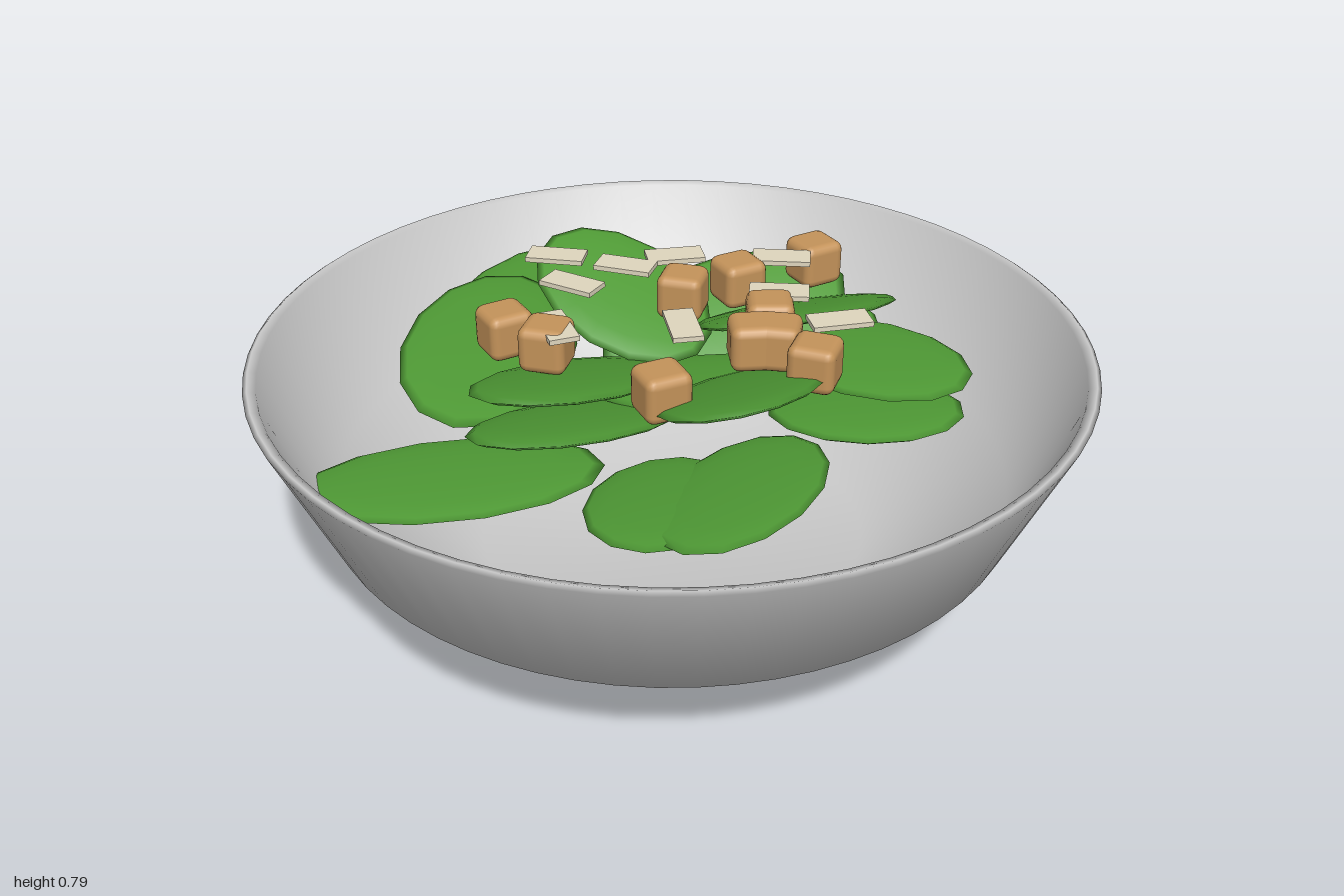
import * as THREE from 'three';
import { RoundedBoxGeometry } from 'three/addons/geometries/RoundedBoxGeometry.js';

const paint = (color) => new THREE.MeshStandardMaterial({ color });

export function createModel() {
  const model = new THREE.Group();
  const green = paint(0x4f9a35), toast = paint(0xc4935a), cream = paint(0xdfd6be);

  // Bowl: outer wall from the foot up to the rim, then back down the inside
  const profile = [
    [0, 0], [0.45, 0], [0.5, 0.075], [0.85, 0.29], [1, 0.635],
    [0.99, 0.642], [0.97, 0.635], [0.82, 0.31], [0.48, 0.11], [0, 0.09],
  ].map(([r, y]) => new THREE.Vector2(r, y));
  const bowl = new THREE.Mesh(new THREE.LatheGeometry(profile, 64), paint(0xcccccc));
  bowl.name = 'bowl';
  model.add(bowl);

  // Leaves: thin faceted ellipsoids lying on a plane with slopes dy/dx and dy/dz
  const leaves = new THREE.Group();
  leaves.name = 'leaves';
  const leafGeometry = new THREE.SphereGeometry(1, 14, 8);
  const addLeaf = (x, y, z, long, wide, yaw, slopeX, slopeZ) => {
    const a = THREE.MathUtils.degToRad(yaw);
    const dx = Math.cos(a), dz = Math.sin(a);
    const along = new THREE.Vector3(dx, slopeX * dx + slopeZ * dz, dz).normalize();
    const normal = new THREE.Vector3(-slopeX, 1, -slopeZ).normalize();
    const across = new THREE.Vector3().crossVectors(along, normal);
    const leaf = new THREE.Mesh(leafGeometry, green);
    leaf.name = 'leaf';
    leaf.quaternion.setFromRotationMatrix(new THREE.Matrix4().makeBasis(along, normal, across));
    leaf.position.set(x, y, z);
    leaf.scale.set(long, 0.022, wide);
    leaves.add(leaf);
  };
  // x, y, z, half length, half width, yaw, slopes
  [
    [-0.22, 0.54, -0.5, 0.37, 0.18, 132, -0.1, -0.1],
    [-0.38, 0.56, -0.27, 0.37, 0.21, 118, -0.1, -0.1],
    [-0.57, 0.41, 0.06, 0.36, 0.19, 14, 0.03, 0.05],
    [-0.28, 0.65, 0.12, 0.3, 0.19, -35, -0.12, 0.3],
    [-0.3, 0.59, 0.2, 0.29, 0.18, -25, -0.1, 0.3],
    [-0.17, 0.48, 0.42, 0.24, 0.18, -60, 0, 0.15],
    [0, 0.49, 0.45, 0.32, 0.17, -45, 0, 0.15],
    [0.03, 0.685, 0.36, 0.29, 0.18, -50, 0.02, 0.4],
    [0.47, 0.56, 0.11, 0.28, 0.18, 65, 0.08, 0.05],
    [0.41, 0.49, 0.22, 0.24, 0.18, 40, 0.05, 0.1],
    [0.33, 0.66, 0.0, 0.34, 0.19, -30, -0.05, 0.42],
    [0.2, 0.6, -0.15, 0.34, 0.17, -5, 0.08, -0.6],
    [0.45, 0.52, -0.18, 0.18, 0.13, 30, 0.1, -0.2],
    [-0.06, 0.69, -0.18, 0.25, 0.18, 60, -0.02, -0.42],
    [0.05, 0.58, 0.12, 0.28, 0.18, 20, 0, 0.15],
  ].forEach((l) => addLeaf(...l));
  model.add(leaves);

  // Scatter copies of a topping: each entry is x, z, yaw in degrees
  const scatter = (name, geometry, material, y, spots) => {
    const group = new THREE.Group();
    group.name = name + 's';
    for (const [x, z, yaw] of spots) {
      const piece = new THREE.Mesh(geometry, material);
      piece.name = name;
      piece.position.set(x, y, z);
      piece.rotation.y = -THREE.MathUtils.degToRad(yaw);
      group.add(piece);
    }
    model.add(group);
  };

  scatter('crouton', new RoundedBoxGeometry(0.11, 0.11, 0.11, 2, 0.022), toast, 0.733, [
    [-0.4, -0.02, -10], [-0.33, 0.08, 35], [-0.16, 0.37, -5], [0.05, -0.06, 35], [0.2, -0.08, -8],
    [0.42, -0.12, -10], [0.19, 0.14, 20], [0.2, 0.37, 40], [0.16, 0.25, 30], [0.11, 0.23, 15],
  ]);

  scatter('cheeseShaving', new THREE.BoxGeometry(0.14, 0.012, 0.07), cream, 0.776, [
    [-0.2, -0.27, 30], [-0.21, -0.11, 50], [-0.06, -0.16, 38], [0.07, -0.17, 10], [0.31, -0.07, 25],
    [0.23, 0.1, 25], [0.3, 0.28, 8], [-0.04, 0.18, -80], [-0.31, 0.09, 90],
  ]);

  return model;
}
